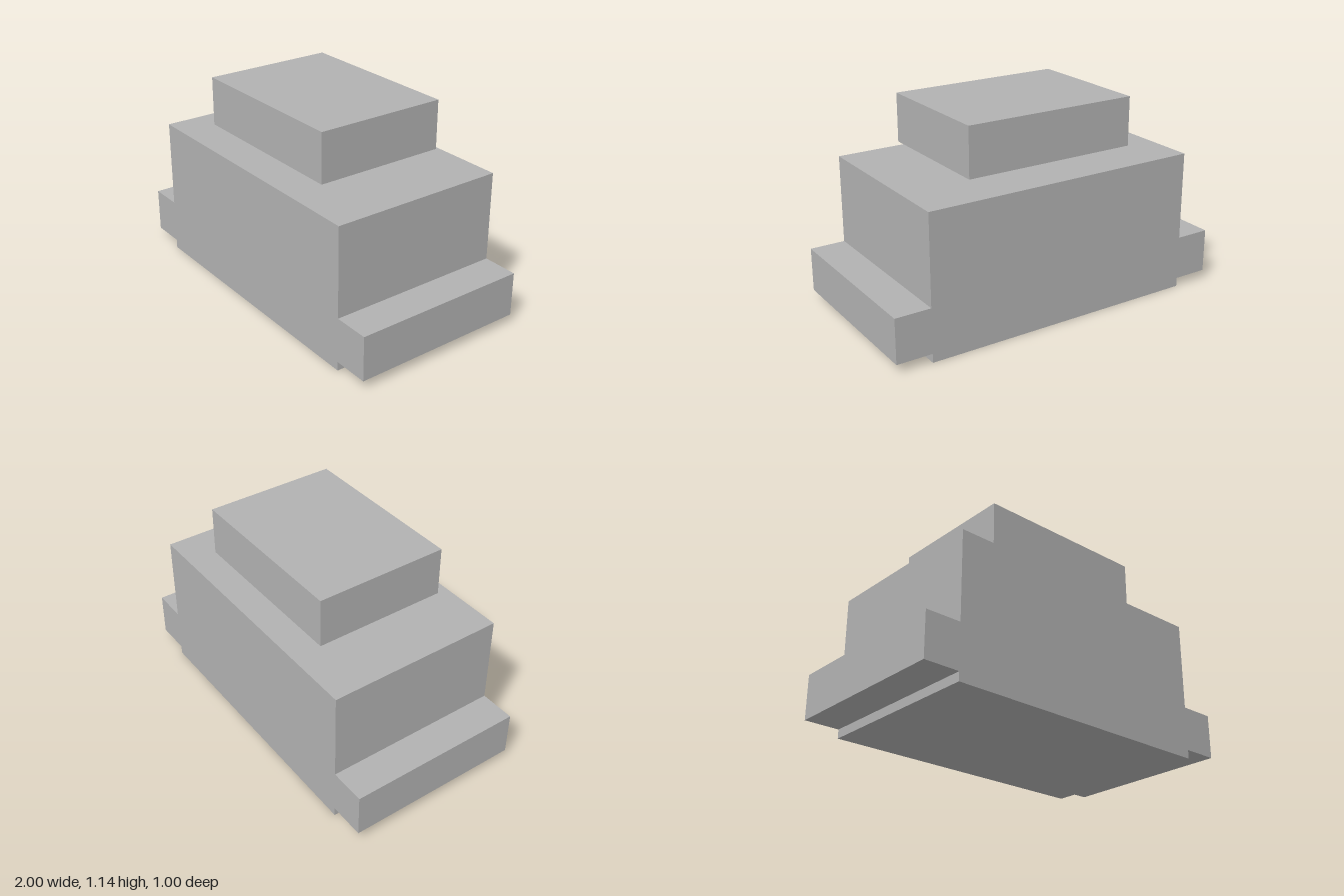
import * as THREE from 'three';

export function createModel() {
  const model = new THREE.Group();
  model.name = 'steppedBlock';

  const grey = new THREE.MeshStandardMaterial({ color: 0xb2b2b2 });
  grey.name = 'grey';

  // Body with a ledge on each side: half the outline, mirrored, then extruded front to back
  const half = [[0.8, 0], [0.8, 0.05], [1, 0.05], [1, 0.3], [0.8, 0.3], [0.8, 0.8]];
  const mirrored = half.map(([x, y]) => [-x, y]).reverse();
  const outline = new THREE.Shape([...half, ...mirrored].map(([x, y]) => new THREE.Vector2(x, y)));
  const bodyGeometry = new THREE.ExtrudeGeometry(outline, { depth: 1, bevelEnabled: false });
  bodyGeometry.translate(0, 0, -0.5);
  const body = new THREE.Mesh(bodyGeometry, grey);
  body.name = 'bodyWithSideLedges';
  model.add(body);

  // Separate slab hovering just above the body
  const slab = new THREE.Mesh(new THREE.BoxGeometry(1, 0.275, 0.75), grey);
  slab.name = 'floatingTopSlab';
  slab.position.y = 1.0025;
  model.add(slab);

  return model;
}
